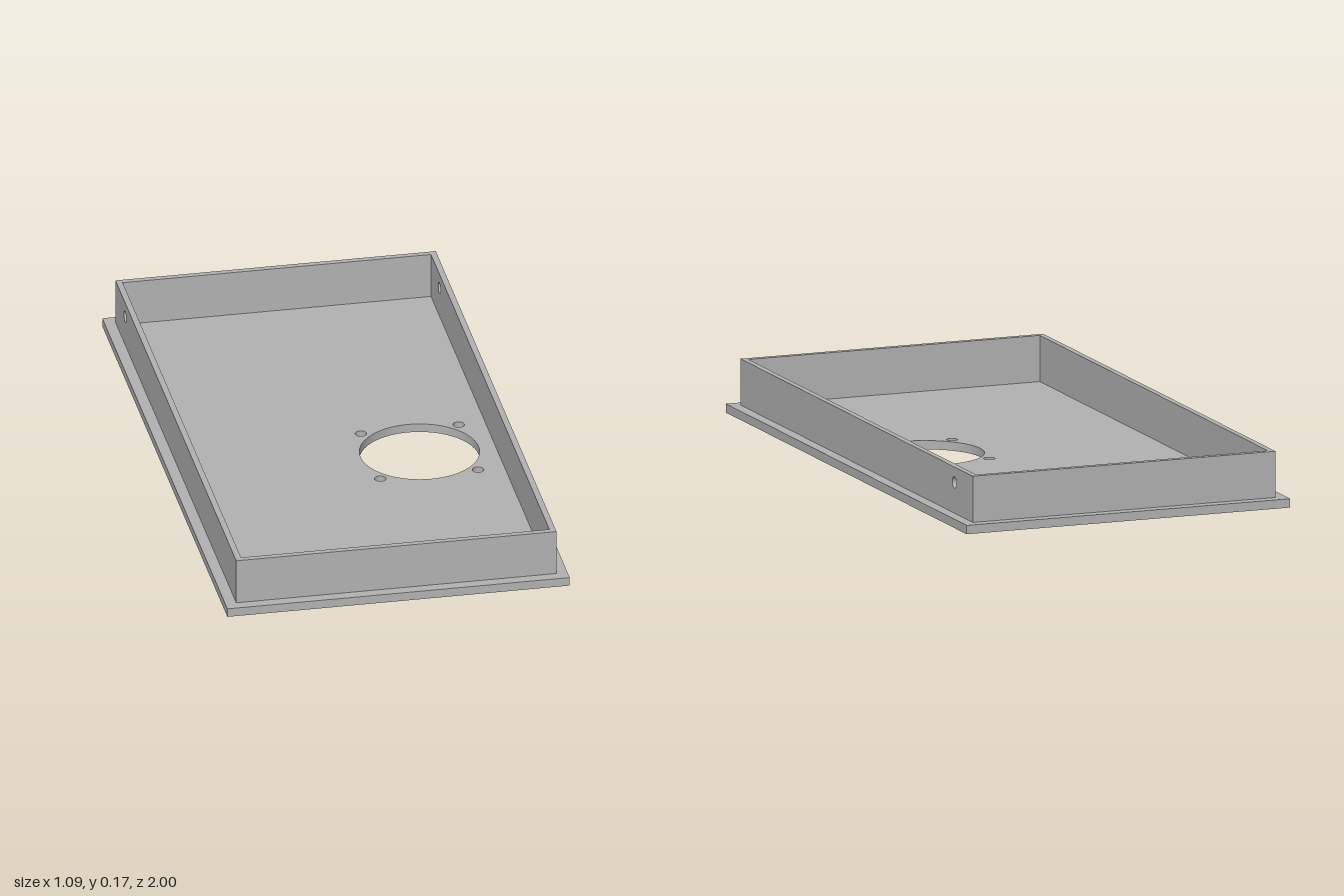
import * as THREE from 'three';

const HALF_W = 0.543, HALF_L = 1, BASE = 0.028;       // flange plate
const OUT_X = 0.508, OUT_Z = 0.965, TOP = 0.175;      // wall outside
const WALL = 0.019;

// Rectangle with round holes given as [x, y, radius]
function plateShape(x0, y0, x1, y1, holes) {
  const shape = new THREE.Shape();
  shape.moveTo(x0, y0).lineTo(x1, y0).lineTo(x1, y1).lineTo(x0, y1).closePath();
  for (const [x, y, r] of holes) {
    shape.holes.push(new THREE.Path().absarc(x, y, r, 0, Math.PI * 2, true));
  }
  return shape;
}

export function createModel() {
  const group = new THREE.Group();
  const grey = new THREE.MeshStandardMaterial({ color: 0xb2b2b2 });
  grey.name = 'grey';

  const add = (name, geometry) => {
    const mesh = new THREE.Mesh(geometry, grey);
    mesh.name = name;
    group.add(mesh);
    return mesh;
  };
  const extrude = (shape, depth) =>
    new THREE.ExtrudeGeometry(shape, { depth, bevelEnabled: false, curveSegments: 32 });

  // Base plate with a large round opening and four screw holes
  const cx = 0.25, cz = 0.075, pitch = 0.155;
  const holes = [[cx, -cz, 0.187]];
  for (const sx of [-1, 1]) {
    for (const sz of [-1, 1]) holes.push([cx + sx * pitch, -cz + sz * pitch, 0.018]);
  }
  add('basePlate', extrude(plateShape(-HALF_W, -HALF_L, HALF_W, HALF_L, holes), BASE)
    .rotateX(-Math.PI / 2));

  // Long side walls, each with a small hole near the back
  for (const [name, x] of [['leftWall', OUT_X], ['rightWall', -OUT_X + WALL]]) {
    const shape = plateShape(-OUT_Z, BASE, OUT_Z, TOP, [[-0.812, 0.126, 0.018]]);
    add(name, extrude(shape, WALL).rotateY(-Math.PI / 2)).position.x = x;
  }

  // Short end walls between the side walls
  for (const [name, s] of [['frontWall', 1], ['backWall', -1]]) {
    const wall = add(name, new THREE.BoxGeometry(2 * (OUT_X - WALL), TOP - BASE, WALL));
    wall.position.set(0, (TOP + BASE) / 2, s * (OUT_Z - WALL / 2));
  }
  return group;
}
